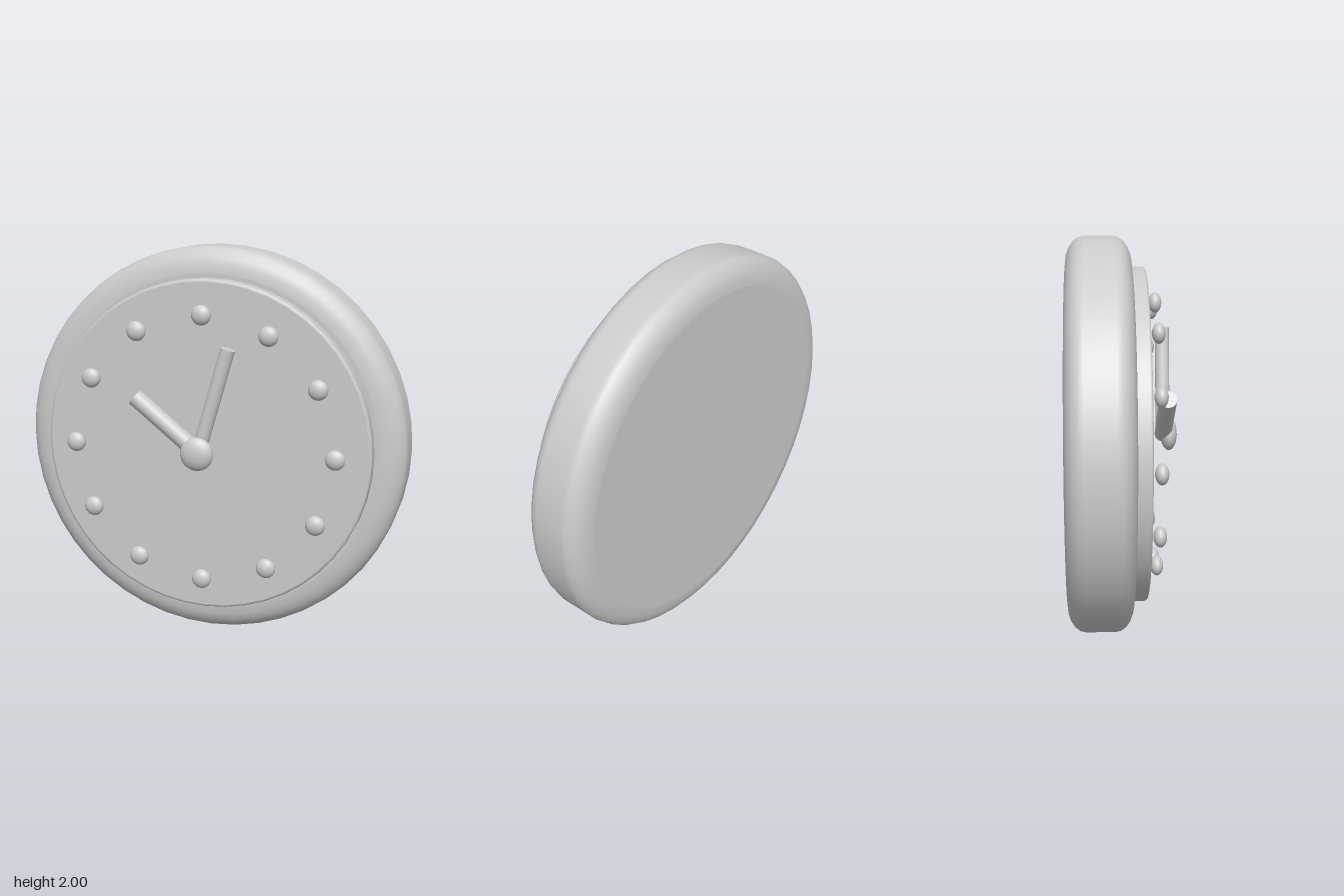
import * as THREE from 'three';

const CENTER_Y = 1;

// Solid of revolution about z: a disc from z0 to z1 with rounded edges
function roundedDisc(radius, z0, z1, bevelR, bevelZ, steps) {
  const pts = [new THREE.Vector2(0, z0), new THREE.Vector2(radius - bevelR - 0.004, z0)];
  const corner = (z, from) => {
    for (let i = 0; i <= steps; i++) {
      const a = from + (i / steps) * Math.PI / 2;
      pts.push(new THREE.Vector2(radius - bevelR + bevelR * Math.cos(a), z + bevelZ * Math.sin(a)));
    }
  };
  corner(z0 + bevelZ, -Math.PI / 2);
  corner(z1 - bevelZ, 0);
  pts.push(new THREE.Vector2(radius - bevelR - 0.004, z1), new THREE.Vector2(0, z1));
  return new THREE.LatheGeometry(pts, 48).rotateX(Math.PI / 2);
}

export function createModel() {
  const group = new THREE.Group();
  const grey = new THREE.MeshStandardMaterial({ color: 0xcccccc });
  grey.name = 'light grey';

  const add = (name, geometry, x, y, z) => {
    const mesh = new THREE.Mesh(geometry, grey);
    mesh.name = name;
    mesh.position.set(x, CENTER_Y + y, z);
    group.add(mesh);
    return mesh;
  };

  // Body and raised dial
  add('caseBody', roundedDisc(1, -0.28, 0.045, 0.13, 0.09, 5), 0, 0, 0);
  add('dial', roundedDisc(0.847, 0.03, 0.115, 0.012, 0.012, 2), 0, 0, 0);

  // Twelve flattened hour markers
  const markerGeometry = new THREE.SphereGeometry(0.05, 20, 14).scale(1, 1, 0.65);
  for (let i = 0; i < 12; i++) {
    const a = (i / 12) * Math.PI * 2;
    add('hourMarker' + (i || 12), markerGeometry, 0.675 * Math.sin(a), 0.675 * Math.cos(a), 0.162);
  }

  // Round-bar hands running from the centre to their tips
  const addHand = (name, tipX, tipY, radius, z) => {
    const length = Math.hypot(tipX, tipY);
    const geometry = new THREE.CylinderGeometry(radius, radius, length, 20).translate(0, length / 2, 0);
    add(name, geometry, 0, 0, z).rotation.z = -Math.atan2(tipX, tipY);
  };
  addHand('minuteHand', 0.15, 0.522, 0.036, 0.208);
  addHand('hourHand', -0.328, 0.262, 0.044, 0.21);

  // Domed centre cap
  add('centreCap', new THREE.SphereGeometry(0.085, 24, 16).scale(1, 1, 0.5), 0, 0, 0.238);

  return group;
}
